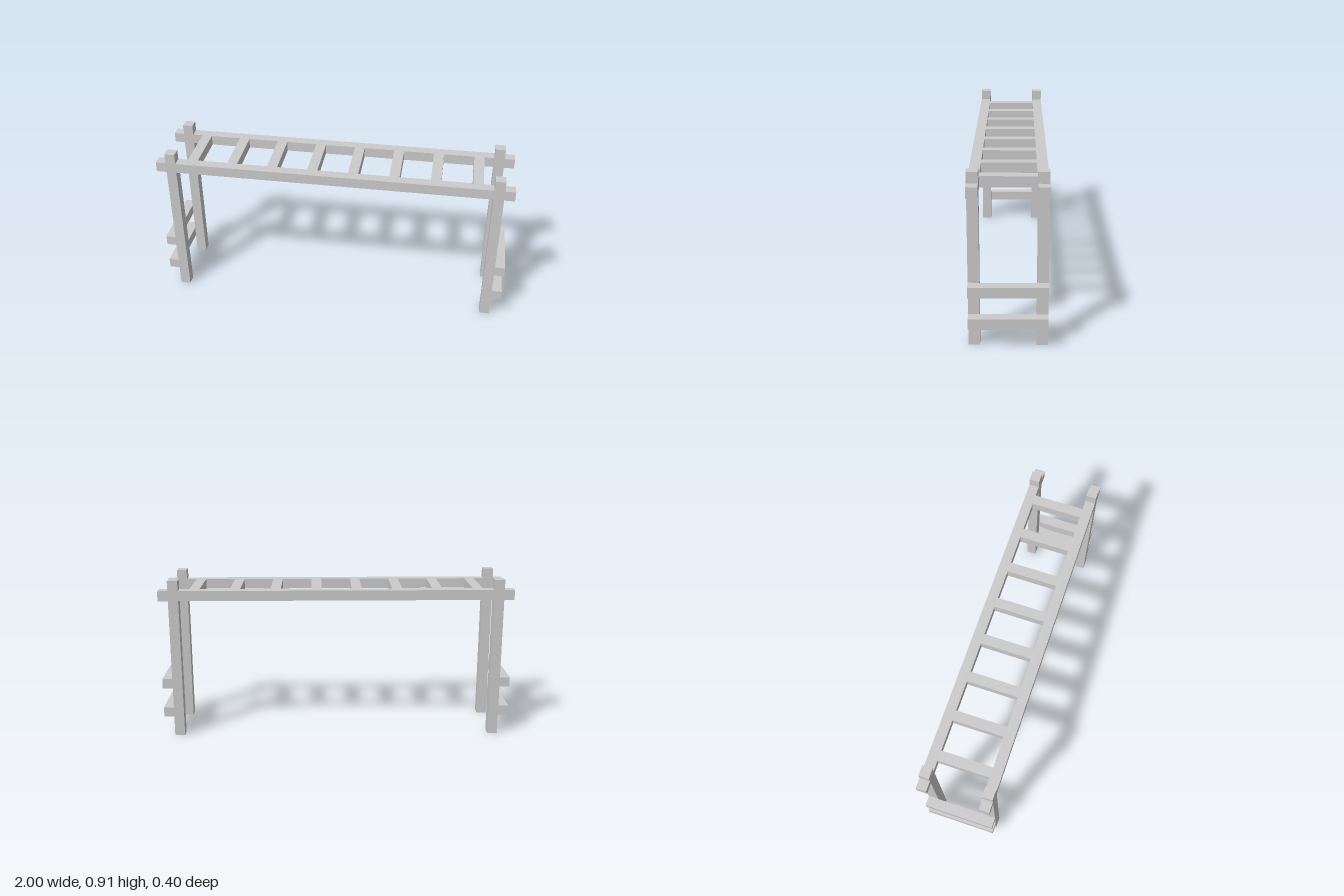
import * as THREE from 'three';

// Every timber is one square unit in section; the frame is 35 units long.
const U = 2 / 35;

export function createModel() {
  const group = new THREE.Group();
  const material = new THREE.MeshStandardMaterial({ color: 0xcccccc, flatShading: true });

  // Box timber sized and centred in units
  const timber = (name, [w, h, d], [x, y, z]) => {
    const mesh = new THREE.Mesh(new THREE.BoxGeometry(w * U, h * U, d * U), material);
    mesh.name = name;
    mesh.position.set(x * U, y * U, z * U);
    group.add(mesh);
  };

  // Long side rails
  for (const z of [-3, 3]) timber('sideRail', [35, 1, 1], [0, 14.5, z]);

  for (const side of [-1, 1]) {
    // Corner posts
    for (const z of [-3, 3]) timber('post', [1, 16, 1], [side * 16, 8, z]);
    // Climbing steps on the outer faces of the posts
    for (const y of [2.5, 5.5]) timber('step', [1, 1, 7], [side * 17, y, 0]);
  }

  // Overhead rungs between the rails
  for (let x = -14; x <= 14; x += 4) timber('rung', [1, 1, 5], [x, 14.5, 0]);

  return group;
}
